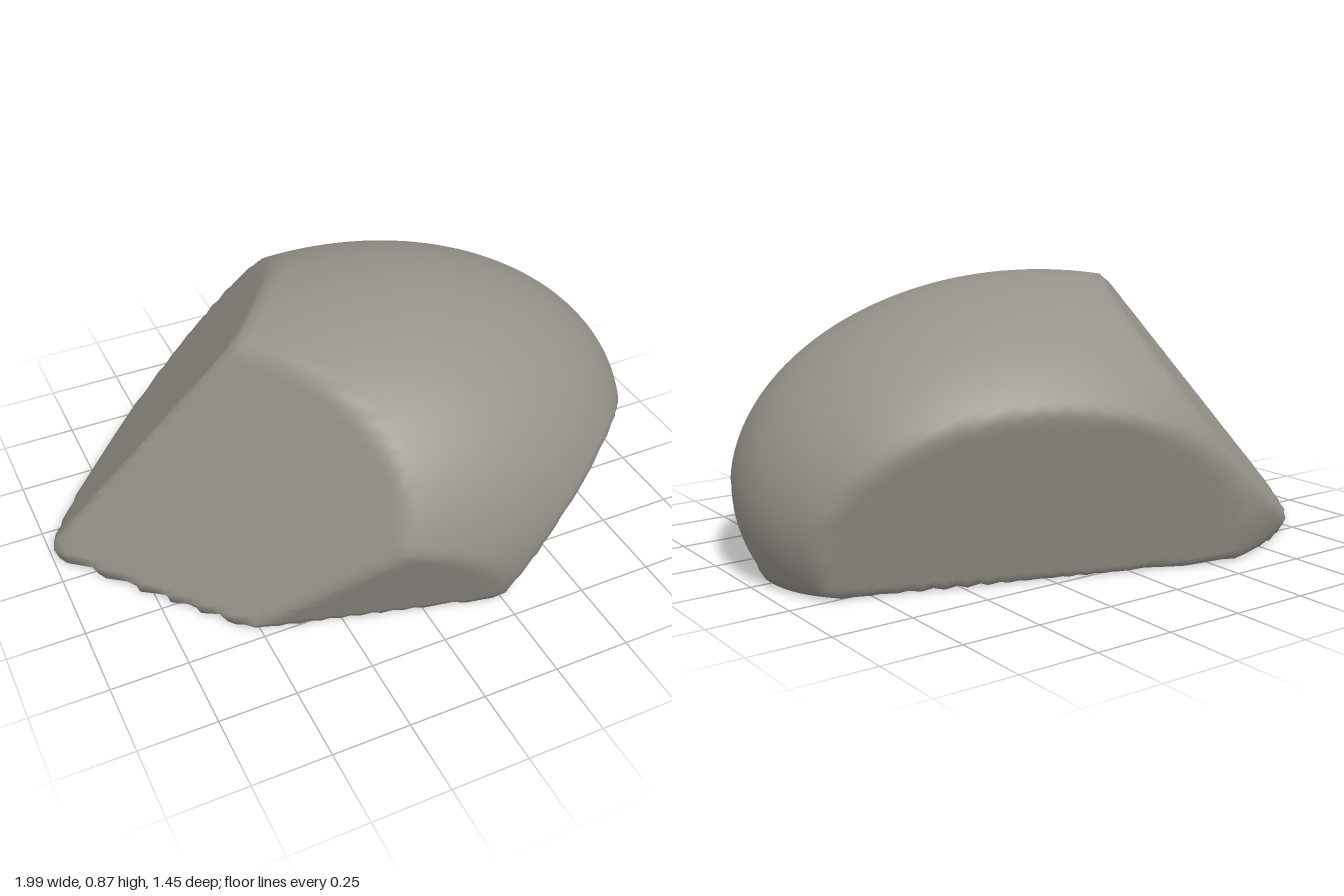
import * as THREE from 'three';
import { mergeVertices } from 'three/addons/utils/BufferGeometryUtils.js';

// Flat cuts through the boulder: outward normal (x, y, z) and distance from the origin
const CUTS = [
  [-0.626, 0.619, -0.475, 0.723],  // large slope, back left
  [-0.716, 0.379, 0.587, 0.656],   // steep slope, front left
  [-0.25, -0.36, 0.9, 0.538],      // undercut, front
  [0.603, -0.447, 0.661, 0.59],    // undercut, front right
  [0.306, -0.287, -0.908, 0.488],  // undercut, back
  [0, -1, 0, -0.01],               // flat base
].map(([x, y, z, d]) => ({ normal: new THREE.Vector3(x, y, z), d }));

const CENTER = new THREE.Vector3(0, 0.24, 0);

function boulderGeometry() {
  let geo = new THREE.IcosahedronGeometry(1, 26);
  geo.deleteAttribute('normal');
  geo.deleteAttribute('uv');
  geo = mergeVertices(geo, 1e-5);

  const pos = geo.attributes.position;
  const v = new THREE.Vector3();
  for (let i = 0; i < pos.count; i++) {
    // Ellipsoid, a little longer toward the pointed end
    v.fromBufferAttribute(pos, i).normalize();
    v.set(v.x * (v.x < 0 ? 1.06 : 1), v.y * 0.64, v.z * 0.74);
    // Pull the point in to the nearest cut it crosses
    let t = 1;
    for (const { normal, d } of CUTS) {
      const reach = normal.dot(v);
      if (reach > 0) t = Math.min(t, (d - normal.dot(CENTER)) / reach);
    }
    v.multiplyScalar(t).add(CENTER);
    pos.setXYZ(i, v.x, v.y, v.z);
  }
  geo.computeVertexNormals();
  return geo;
}

export function createModel() {
  const model = new THREE.Group();
  model.name = 'rock';
  const stone = new THREE.MeshStandardMaterial({ color: 0x96928a });
  stone.name = 'warm grey stone';
  const boulder = new THREE.Mesh(boulderGeometry(), stone);
  boulder.name = 'boulder';
  model.add(boulder);
  return model;
}
